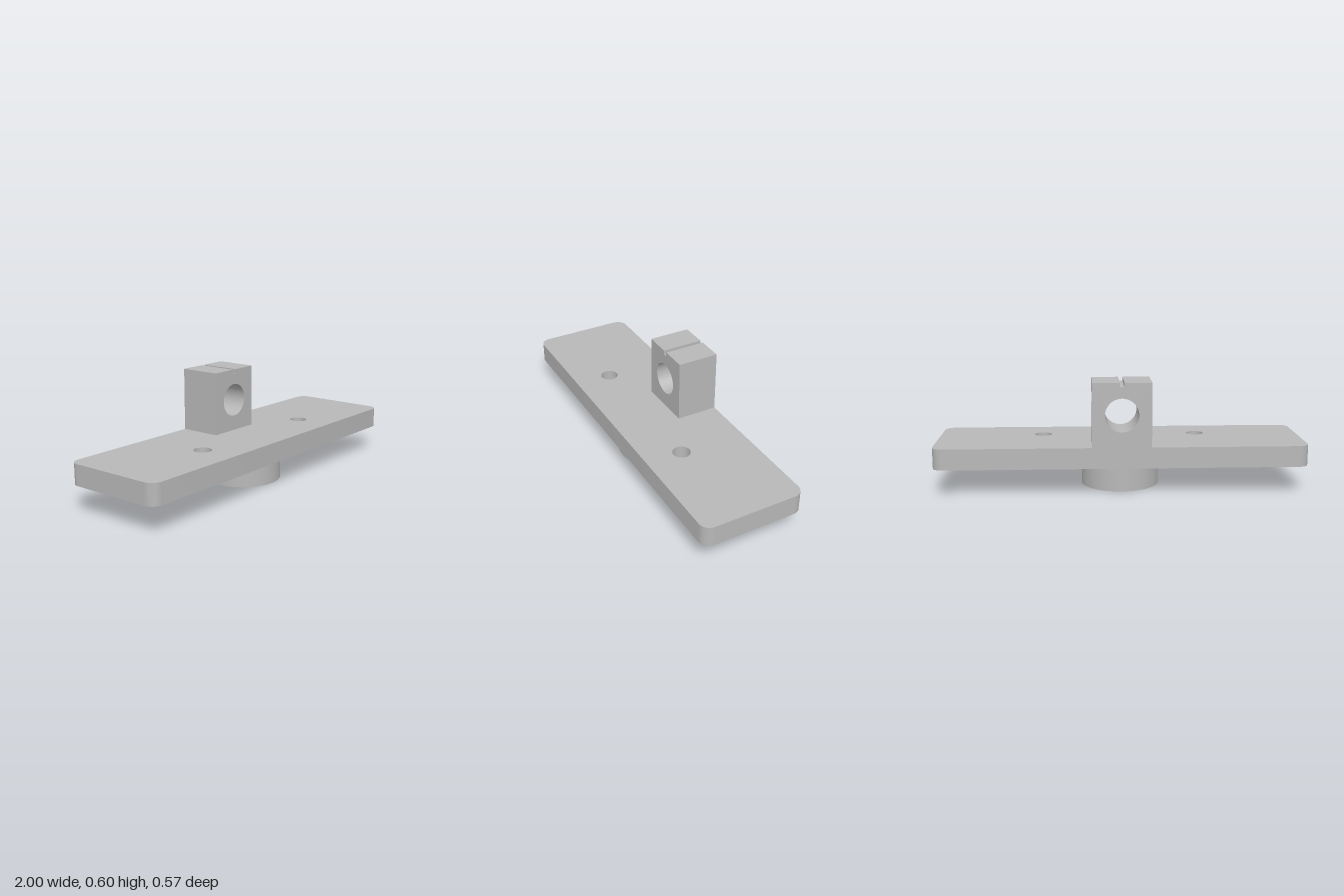
import * as THREE from 'three';
import { toCreasedNormals } from 'three/addons/utils/BufferGeometryUtils.js';

const hole = (x, y, r) => new THREE.Path().absarc(x, y, r, 0, Math.PI * 2, true);

// Extruded solid with smooth curved walls and sharp edges
function extrude(shape, depth) {
  const geometry = new THREE.ExtrudeGeometry(shape, { depth, bevelEnabled: false, curveSegments: 32 });
  return toCreasedNormals(geometry, Math.PI / 6);
}

// Extrusion standing upright: shape y becomes -z
function slab(shape, y, height) {
  return extrude(shape, height).rotateX(-Math.PI / 2).translate(0, y, 0);
}

export function createModel() {
  const group = new THREE.Group();
  const metal = new THREE.MeshStandardMaterial({ color: 0xb8b8b8 });
  metal.name = 'grey metal';

  const add = (name, geometry) => {
    const mesh = new THREE.Mesh(geometry, metal);
    mesh.name = name;
    group.add(mesh);
  };

  const bossTop = 0.145, plateTop = 0.258, top = 0.602;
  const back = -0.286;

  // Rounded base plate with two screw holes
  const w = 1, d = 0.286, r = 0.057;
  const plate = new THREE.Shape();
  plate.absarc(w - r, d - r, r, 0, Math.PI / 2);
  plate.absarc(-w + r, d - r, r, Math.PI / 2, Math.PI);
  plate.absarc(-w + r, -d + r, r, Math.PI, Math.PI * 1.5);
  plate.absarc(w - r, -d + r, r, Math.PI * 1.5, Math.PI * 2);
  plate.closePath();
  for (const side of [-1, 1]) plate.holes.push(hole(side * 0.428, -0.081, 0.048));
  add('plate', slab(plate, bossTop, plateTop - bossTop));

  // Round boss underneath with a blind bore
  const boss = new THREE.Shape().absarc(0, 0, 0.213, 0, Math.PI * 2);
  boss.holes.push(hole(0, 0, 0.057));
  add('boss', slab(boss, 0, bossTop));

  // Upright block with a cross bore and a narrow slot along the top
  const half = 0.158, slot = 0.012, slotFloor = 0.58;
  const block = new THREE.Shape([
    [-half, plateTop], [half, plateTop], [half, top], [slot, top],
    [slot, slotFloor], [-slot, slotFloor], [-slot, top], [-half, top],
  ].map(([x, y]) => new THREE.Vector2(x, y)));
  block.holes.push(hole(0, 0.43, 0.09));
  add('bracketBlock', extrude(block, 0.229).translate(0, 0, back));

  return group;
}
